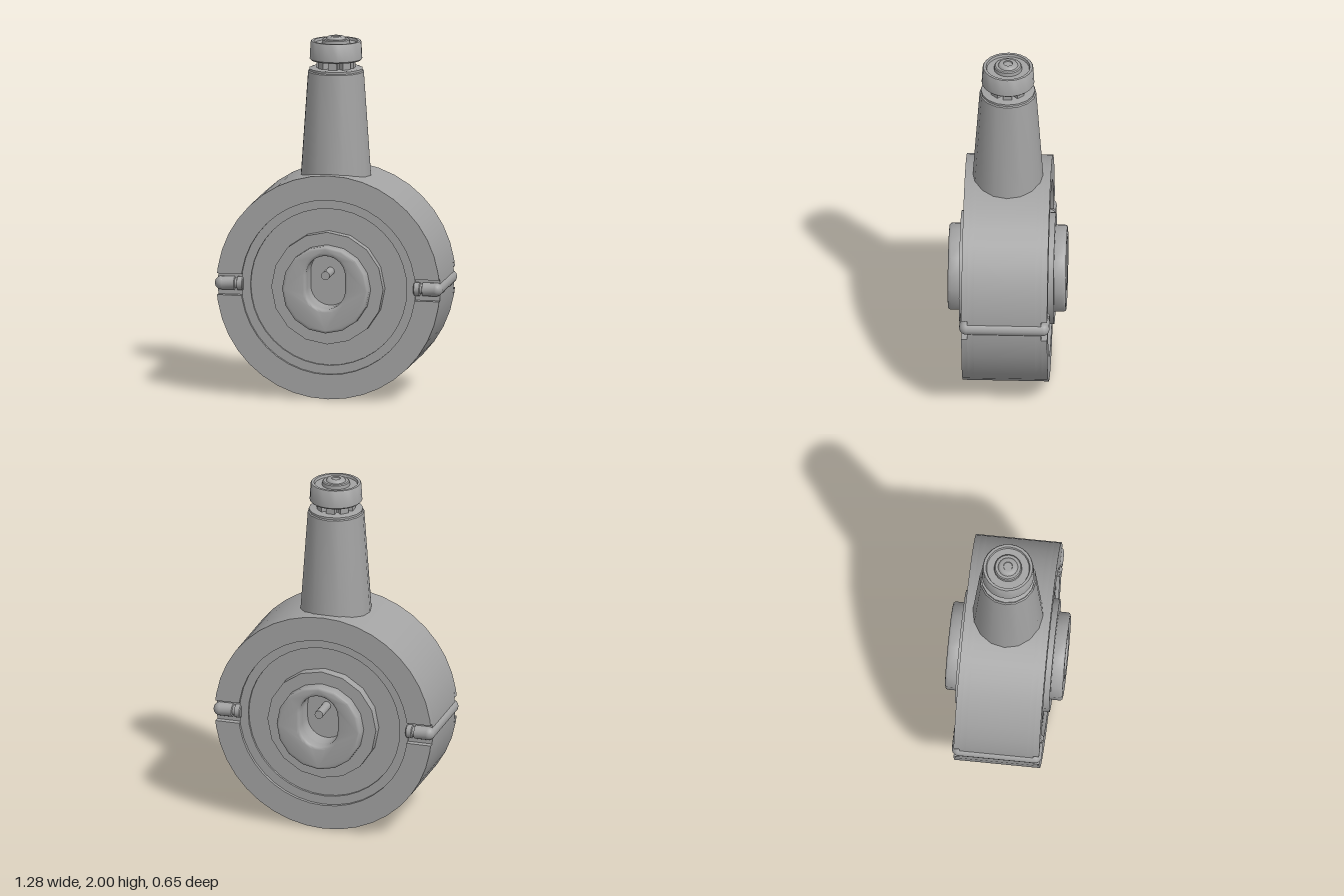
import * as THREE from 'three';
import { toCreasedNormals } from 'three/addons/utils/BufferGeometryUtils.js';

const CY = 0.628; // height of the drum axis
const R = 0.628; // drum radius
const SIDES = 40;

export function createModel() {
  const model = new THREE.Group();
  model.name = 'drumWithNeck';
  const grey = new THREE.MeshStandardMaterial({ color: 0xa3a3a3 });
  grey.name = 'plainGrey';

  const add = (parent, name, geometry, x = 0, y = 0, z = 0) => {
    const mesh = new THREE.Mesh(geometry, grey);
    mesh.name = name;
    mesh.position.set(x, y, z);
    parent.add(mesh);
    return mesh;
  };
  const polar = (r, a) => new THREE.Vector2(r * Math.cos(a), r * Math.sin(a));
  const circle = (r, sides) =>
    Array.from({ length: sides }, (_, i) => polar(r, (i / sides) * Math.PI * 2));
  const lathe = (points, sides) =>
    toCreasedNormals(new THREE.LatheGeometry(points.map(p => new THREE.Vector2(...p)), sides), 0.6);

  // Extrudes a shape from z0 to z1, optionally with rounded edges
  const slab = (shape, z0, z1, bevel = 0) => {
    const g = new THREE.ExtrudeGeometry(shape, {
      depth: z1 - z0 - 2 * bevel, curveSegments: 10, bevelEnabled: bevel > 0,
      bevelSize: bevel, bevelThickness: bevel, bevelOffset: -bevel, bevelSegments: 3,
    });
    g.translate(0, 0, z0 + bevel);
    return toCreasedNormals(g, 0.6);
  };

  // Stadium-shaped opening through the hub
  const slot = () => {
    const p = new THREE.Path();
    p.absarc(0, 0.08, 0.11, 0, Math.PI, false);
    p.absarc(0, 0, 0.11, Math.PI, Math.PI * 2, false);
    p.closePath();
    return p;
  };
  const slottedDisc = (r, sides) => {
    const s = new THREE.Shape(circle(r, sides));
    s.holes.push(slot());
    return s;
  };

  // Half of the raised rim, cut straight at the clip channel
  const halfRim = () => {
    const gap = 0.06, inner = 0.49;
    const arc = r => {
      const start = Math.asin(gap / r);
      const pts = [polar(r, start)];
      for (let i = 1; i < SIDES / 2; i++) pts.push(polar(r, (i / SIDES) * Math.PI * 2));
      pts.push(polar(r, Math.PI - start));
      return pts;
    };
    return new THREE.Shape([...arc(R), ...arc(inner).reverse()]);
  };

  // Drum core
  const core = new THREE.CylinderGeometry(R, R, 0.34, SIDES);
  core.rotateY(Math.PI / 2);
  core.rotateX(Math.PI / 2);
  add(model, 'drumCore', core, 0, CY, 0);

  // Identical front and back faces
  for (const name of ['frontFace', 'backFace']) {
    const face = new THREE.Group();
    face.name = name;
    face.position.y = CY;
    if (name === 'backFace') face.rotation.y = Math.PI;
    model.add(face);

    add(face, 'facePlate', slab(slottedDisc(R, SIDES), 0.17, 0.205));
    const ring = new THREE.Shape(circle(0.491, SIDES));
    ring.holes.push(new THREE.Path(circle(0.44, SIDES)));
    add(face, 'innerRing', slab(ring, 0.205, 0.219));
    add(face, 'upperRim', slab(halfRim(), 0.205, 0.238));
    add(face, 'lowerRim', slab(halfRim(), 0.205, 0.238)).rotation.z = Math.PI;
    add(face, 'hubFlange', slab(slottedDisc(0.315, 16), 0.205, 0.262));
    add(face, 'hub', slab(slottedDisc(0.245, 16), 0.24, 0.327, 0.016));
    const pin = new THREE.CylinderGeometry(0.024, 0.024, 0.15, 12);
    pin.rotateX(Math.PI / 2);
    add(face, 'hubPin', pin, 0, 0.08, 0.24);
  }

  // Clips wrapping around the sides of the drum
  for (const side of [1, -1]) {
    const clip = new THREE.Group();
    clip.name = side > 0 ? 'leftClip' : 'rightClip';
    clip.position.y = CY + 0.004;
    clip.rotation.y = side > 0 ? 0 : Math.PI;
    model.add(clip);
    const bar = new THREE.CapsuleGeometry(0.038, 0.424, 5, 14);
    bar.rotateX(Math.PI / 2);
    add(clip, 'clipBar', bar, 0.604);
    for (const z of [0.212, -0.212]) {
      const arm = lathe([[0, 0.48], [0.033, 0.48], [0.038, 0.485], [0.038, 0.513], [0.028, 0.516],
        [0.028, 0.527], [0.038, 0.53], [0.038, 0.604]], 14);
      arm.rotateZ(-Math.PI / 2);
      add(clip, 'clipArm', arm, 0, 0, z);
    }
  }

  // Tapered neck with a lip
  add(model, 'neck', lathe([[0.2, 1.15], [0.197, 1.23], [0.157, 1.805], [0.15, 1.81],
    [0.15, 1.822], [0.14, 1.825], [0, 1.825]], 16));

  // Posts between the neck and the cap
  add(model, 'neckCore', new THREE.CylinderGeometry(0.075, 0.075, 0.08, 16), 0, 1.85, 0);
  for (let i = 0; i < 8; i++) {
    const a = (i / 8) * Math.PI * 2;
    const post = add(model, 'neckPost', new THREE.BoxGeometry(0.05, 0.07, 0.045),
      Math.sin(a) * 0.082, 1.848, Math.cos(a) * 0.082);
    post.rotation.y = a;
  }

  // Cap with a sunken top and a stepped button
  add(model, 'cap', lathe([[0, 1.868], [0.138, 1.868], [0.146, 1.876], [0.141, 1.97], [0.137, 1.976],
    [0.122, 1.976], [0.118, 1.962], [0, 1.962]], 24));
  add(model, 'capButton', lathe([[0.078, 1.955], [0.076, 1.982], [0.07, 1.987], [0.055, 1.987],
    [0.05, 1.996], [0.044, 2], [0.026, 2], [0.024, 1.994], [0, 1.994]], 20));

  return model;
}
